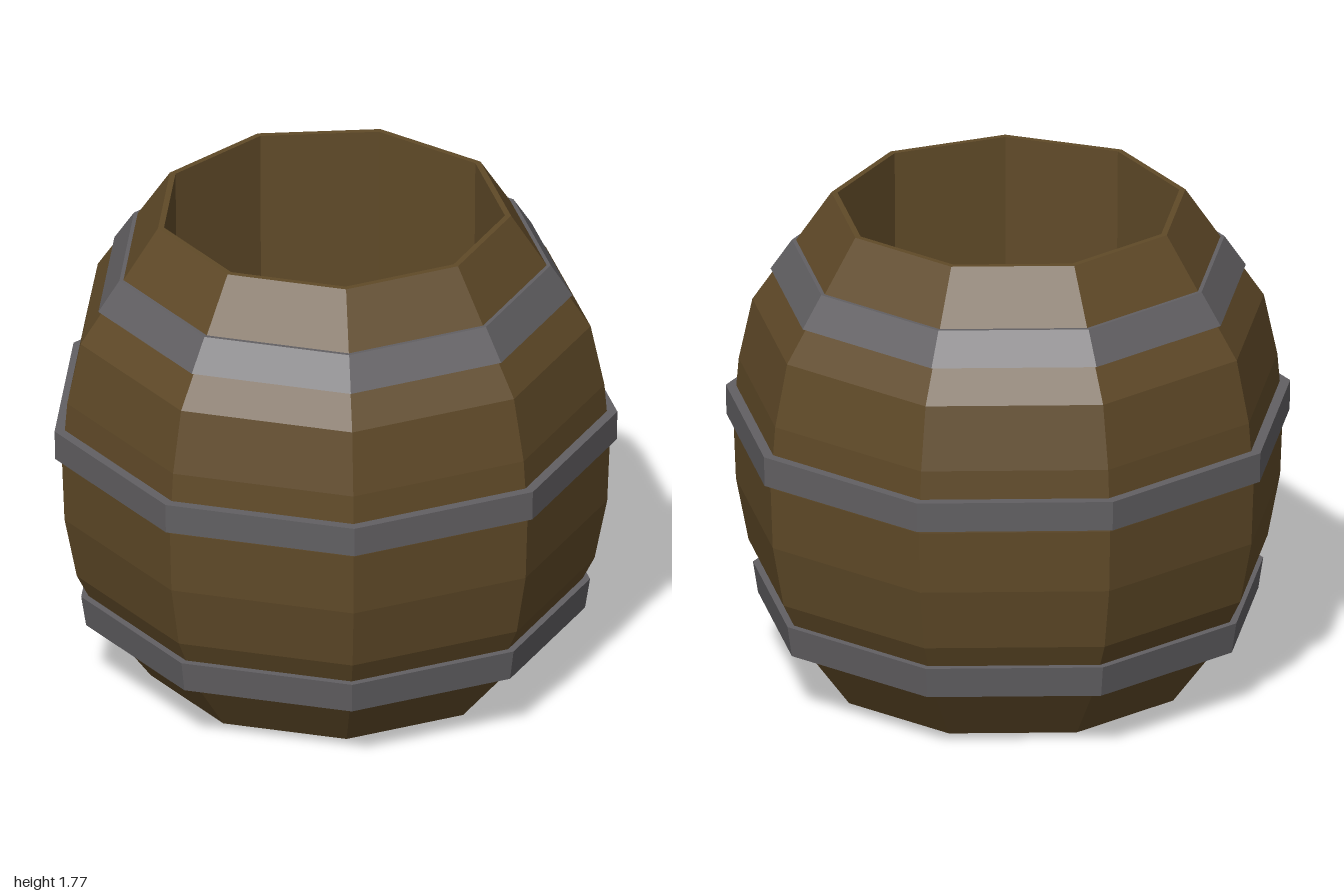
import * as THREE from 'three';

const SIDES = 9;
const wood = new THREE.MeshStandardMaterial({ color: 0x604a28, flatShading: true });
const iron = new THREE.MeshStandardMaterial({ color: 0x626063, flatShading: true });

// Nine-sided solid of revolution with one corner pointing to the back
function turned(name, profile, material) {
  const points = profile.map(([r, y]) => new THREE.Vector2(r, y));
  const mesh = new THREE.Mesh(new THREE.LatheGeometry(points, SIDES, Math.PI), material);
  mesh.name = name;
  return mesh;
}

// Closed hoop with its inner face sunk into the staves
function hoop(name, y0, r0, y1, r1, depth) {
  return turned(name, [
    [r0, y0], [r1, y1], [r1 - depth, y1], [r0 - depth, y0], [r0, y0],
  ], iron);
}

export function createModel() {
  const barrel = new THREE.Group();
  barrel.name = 'barrel';

  // Base, bulging outer wall, rim, inner wall and floor
  barrel.add(turned('staves', [
    [0, 0], [0.663, 0], [0.828, 0.22], [0.934, 0.43], [0.979, 0.66],
    [0.988, 0.89], [0.969, 1.12], [0.92, 1.35], [0.78, 1.56], [0.637, 1.775],
    [0.615, 1.775], [0.6, 0.1], [0, 0.1],
  ], wood));

  barrel.add(hoop('lowerHoop', 0.23, 0.9, 0.345, 0.918, 0.09));
  barrel.add(hoop('middleHoop', 0.905, 1.013, 1.015, 1.0154, 0.05));
  barrel.add(hoop('upperHoop', 1.47, 0.855, 1.585, 0.778, 0.035));

  // A nonagon's bounds are off-centre in depth
  barrel.position.z = 0.03;

  const model = new THREE.Group();
  model.add(barrel);
  return model;
}
